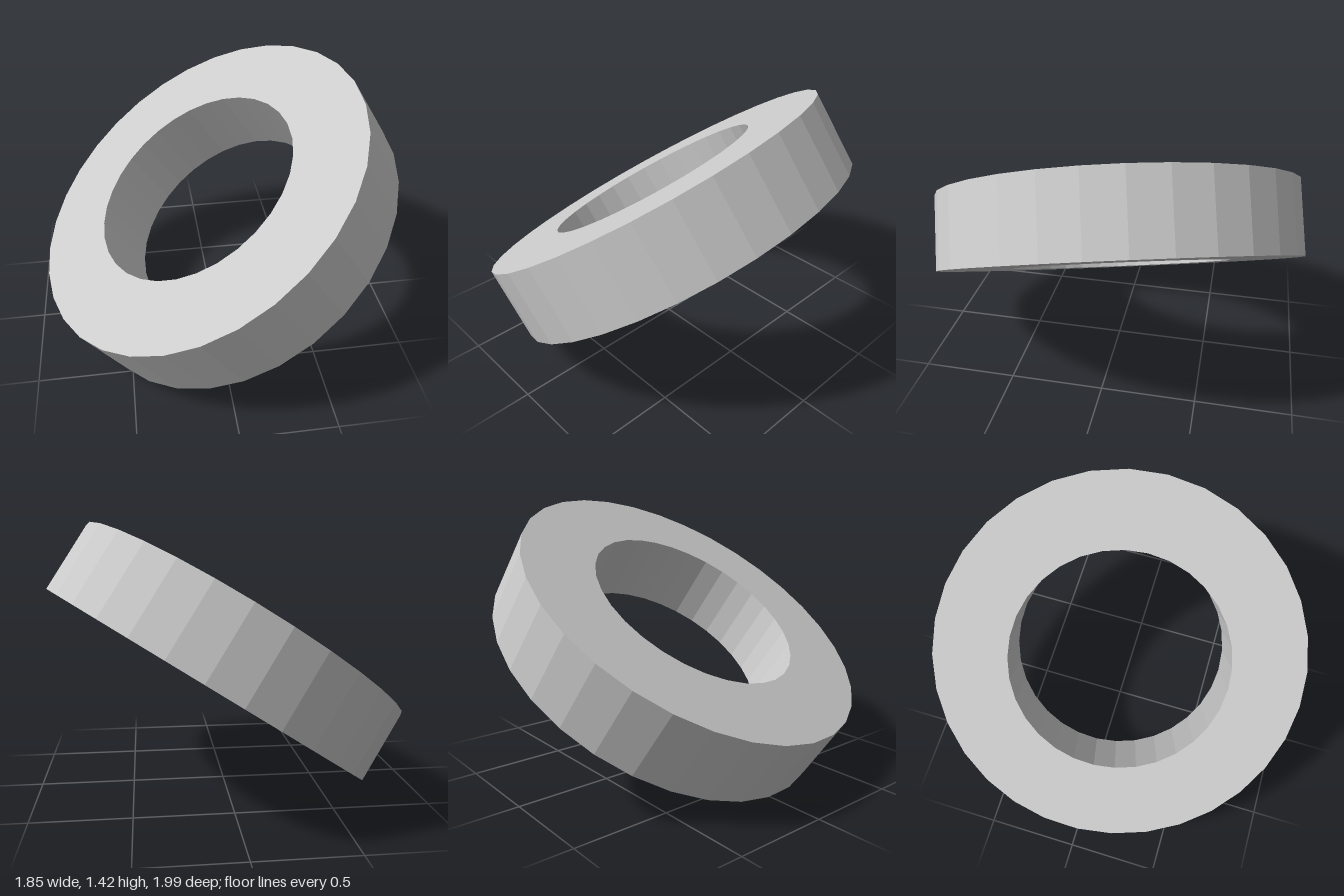
import * as THREE from 'three';

const OUTER = 0.978, INNER = 0.586, HEIGHT = 0.395, SIDES = 32;

export function createModel() {
  const group = new THREE.Group();
  const h = HEIGHT / 2;

  // Closed rectangular section, swept around the ring's axis
  const section = [[INNER, -h], [OUTER, -h], [OUTER, h], [INNER, h], [INNER, -h]]
    .map(([r, y]) => new THREE.Vector2(r, y));
  const ring = new THREE.Mesh(
    new THREE.LatheGeometry(section, SIDES),
    new THREE.MeshStandardMaterial({ color: 0xcccccc, flatShading: true })
  );
  ring.name = 'ring';

  // Tip slightly forward, then lean up towards +x
  ring.rotation.set(0.15, 0, 0.576, 'ZYX');
  ring.position.y = 0.713;
  group.add(ring);
  return group;
}
